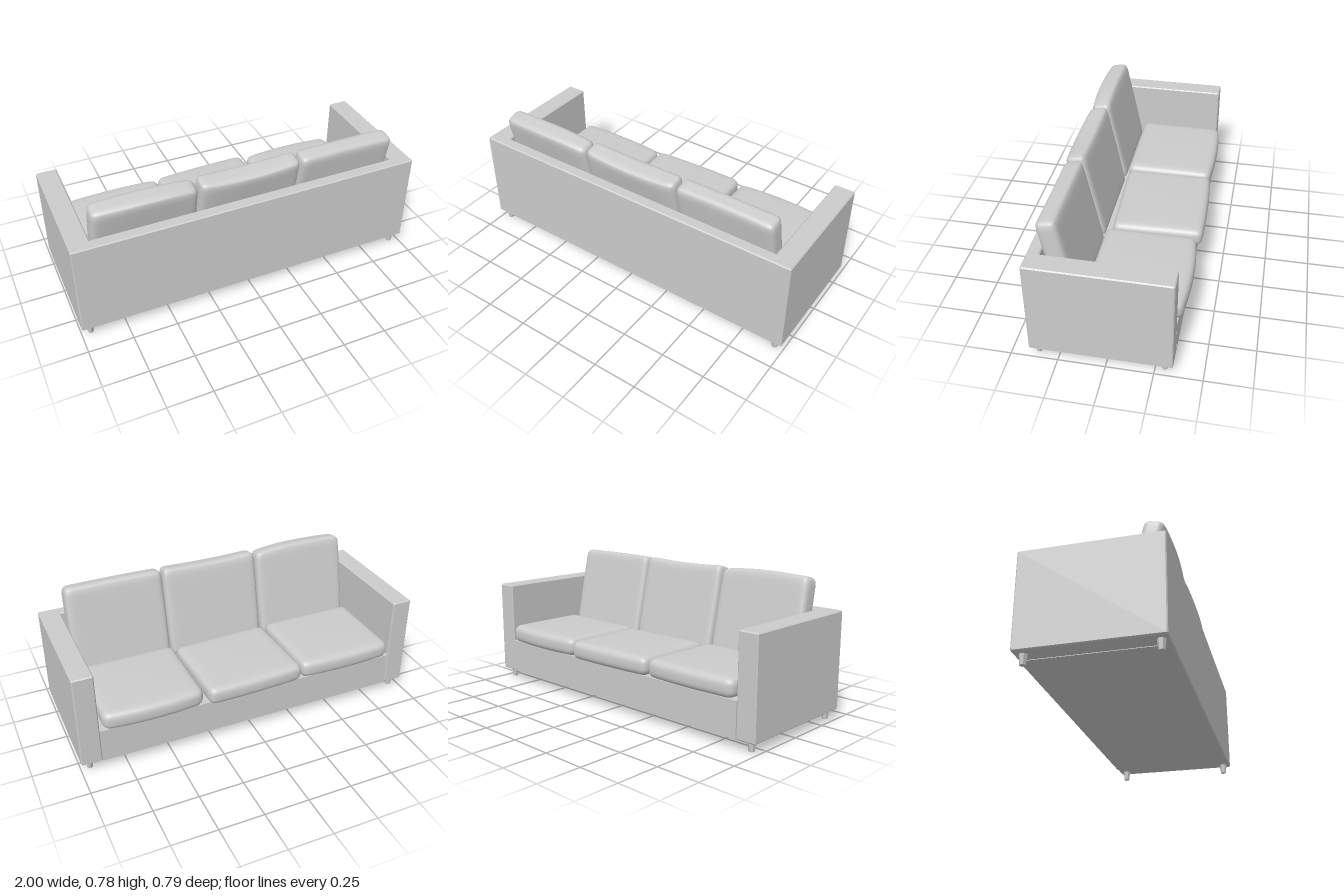
import * as THREE from 'three';
import { mergeVertices } from 'three/addons/utils/BufferGeometryUtils.js';

const material = new THREE.MeshStandardMaterial({ color: 0xcccccc });

function addMesh(parent, name, geometry, x = 0, y = 0, z = 0) {
  const mesh = new THREE.Mesh(geometry, material);
  mesh.name = name;
  mesh.position.set(x, y, z);
  parent.add(mesh);
  return mesh;
}

// Rounded pillow block; warp(point, u, v, w) bends it, with u, v, w in -1..1
function cushionGeometry(width, height, depth, radius, warp) {
  const box = new THREE.BoxGeometry(2, 2, 2, 20, 14, 20);
  box.deleteAttribute('uv');
  box.deleteAttribute('normal');
  const geometry = mergeVertices(box);
  const position = geometry.attributes.position;
  const half = new THREE.Vector3(width / 2, height / 2, depth / 2);
  const inner = half.clone().subScalar(radius);
  const p = new THREE.Vector3();
  const core = new THREE.Vector3();
  // Crowd the vertices toward the edges, where the curvature is
  const ease = (t) => Math.sign(t) * (1 - (1 - Math.abs(t)) ** 2);
  for (let i = 0; i < position.count; i++) {
    p.fromBufferAttribute(position, i);
    p.set(ease(p.x), ease(p.y), ease(p.z));
    const [u, v, w] = p.toArray();
    p.multiply(half);
    core.copy(p).clamp(inner.clone().negate(), inner);
    p.sub(core).setLength(radius).add(core);
    warp(p, u, v, w);
    position.setXYZ(i, p.x, p.y, p.z);
  }
  geometry.computeVertexNormals();
  return geometry;
}

// Arms and back as one U-shaped wall with chamfered edges
function frameGeometry() {
  const c = 0.006;
  const bottom = 0.055;
  const top = 0.6;
  const right = [
    [1 - c, -0.4], [1, -0.4 + c], [1, 0.345 - c], [1 - c, 0.345],
    [0.885 + c, 0.345], [0.885, 0.345 - c], [0.885, -0.335],
  ];
  const left = right.map(([x, y]) => [-x, y]).reverse();
  const shape = new THREE.Shape([...right, ...left].map(([x, y]) => new THREE.Vector2(x, y)));
  const geometry = new THREE.ExtrudeGeometry(shape, {
    depth: top - bottom - 2 * c,
    bevelThickness: c, bevelSize: c, bevelOffset: -c, bevelSegments: 1,
  });
  return geometry.rotateX(-Math.PI / 2).translate(0, bottom + c, 0);
}

export function createModel() {
  const sofa = new THREE.Group();
  sofa.name = 'sofa';

  addMesh(sofa, 'armsAndBack', frameGeometry());
  addMesh(sofa, 'seatBase', new THREE.BoxGeometry(1.77, 0.195, 0.685), 0, 0.1525, -0.0025);

  // Tapered legs
  for (const x of [-0.948, 0.948]) {
    for (const z of [-0.298, 0.36]) {
      addMesh(sofa, 'leg', new THREE.CylinderGeometry(0.023, 0.016, 0.057, 6).toNonIndexed(), x, 0.0285, z)
        .geometry.computeVertexNormals();
    }
  }

  // Seat cushions: bulging front edge, slightly domed top, the middle one askew
  const seats = [
    { x: -0.583, width: 0.57, z: -0.11, bulge: 0.015, turn: 0 },
    { x: 0.0, width: 0.572, z: -0.128, bulge: 0.008, turn: 0.035 },
    { x: 0.583, width: 0.565, z: -0.11, bulge: 0.022, turn: 0 },
  ];
  for (const { x, width, z, bulge, turn } of seats) {
    const geometry = cushionGeometry(width, 0.104, 0.505, 0.04, (p, u, v, w) => {
      const arch = 1 - u * u;
      p.z -= bulge * arch * Math.max(0, -w);
      p.y += 0.007 * arch * (1 - w * w) * Math.max(0, v);
    });
    addMesh(sofa, 'seatCushion', geometry, x, 0.303, z).rotation.y = turn;
  }

  // Back cushions: leaning back, fuller near the top, with uneven top edges
  const backs = [
    { x: -0.583, width: 0.57, bulge: 0.012, crown: (u) => 0.008 * (1 - u * u) - 0.012 * Math.max(0, u) ** 2 },
    { x: 0.003, width: 0.575, bulge: 0.014, crown: (u) => 0.009 * u * u - 0.006 },
    { x: 0.583, width: 0.565, bulge: -0.004, crown: (u) => 0.003 * (1 - u * u) },
  ];
  for (const { x, width, bulge, crown } of backs) {
    const geometry = cushionGeometry(width, 0.53, 0.11, 0.034, (p, u, v, w) => {
      const upper = Math.max(0, v);
      p.y += crown(u) * upper;
      p.z += bulge * (1 - u * u) * upper * Math.max(0, w);
      p.x *= 1 + 0.012 * (1 - v * v);
    });
    addMesh(sofa, 'backCushion', geometry, x, 0.51, 0.257).rotation.x = 0.21;
  }

  return sofa;
}
